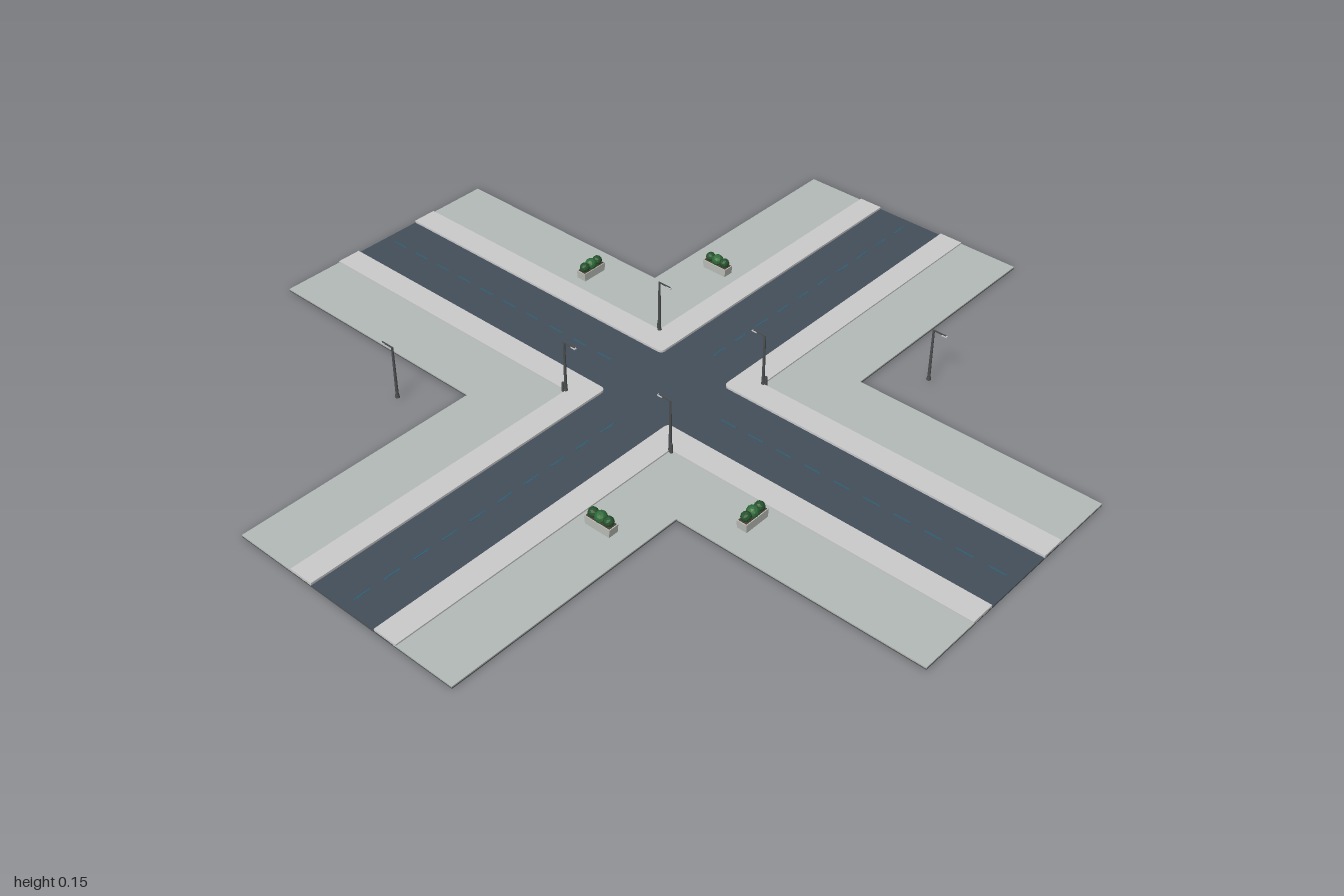
import * as THREE from 'three';

const ROAD = 0.1, WALK = 0.167, LOT = 0.333, END = 1;
const Y_BASE = 0.003, Y_ROAD = 0.0045, Y_LOT = 0.0065, Y_WALK = 0.0105;

const mat = (color) => new THREE.MeshStandardMaterial({ color, flatShading: true });
const M = {
  base: mat(0x555655), road: mat(0x434f5b), mark: mat(0x2f5f74), lot: mat(0xb4bbb9),
  walk: mat(0xc3c7c5), metal: mat(0x4c4f50), lamp: mat(0xcccccc),
  planter: mat(0xb9bcb6), soil: mat(0x4a3d30), leaf: mat(0x2f6b38), leafDark: mat(0x24522c),
};

function add(parent, name, geometry, material, x = 0, y = 0, z = 0) {
  const m = new THREE.Mesh(geometry, material);
  m.name = name;
  m.position.set(x, y, z);
  parent.add(m);
  return m;
}

// Extrudes a plan shape upward from y0 to y1
function slab(shape, y0, y1) {
  const g = new THREE.ExtrudeGeometry(shape, { depth: y1 - y0, bevelEnabled: false, curveSegments: 6 });
  return g.rotateX(-Math.PI / 2).translate(0, y0, 0);
}

// Plus-shaped plan with arms of half width w
function crossShape(w) {
  const s = new THREE.Shape();
  const corner = [[w, END], [-w, END], [-w, w]];
  for (let i = 0; i < 4; i++) {
    for (const [px, py] of corner) {
      let x = px, y = py;
      for (let k = 0; k < i; k++) [x, y] = [-y, x];
      if (i === 0 && px === w) s.moveTo(x, y); else s.lineTo(x, y);
    }
  }
  s.closePath();
  return s;
}

// L-shaped plan for one quadrant, with a rounded inner corner
function cornerShape(a, b, r) {
  const s = new THREE.Shape();
  s.moveTo(a + r, a);
  s.lineTo(END, a);
  s.lineTo(END, b);
  s.lineTo(b, b);
  s.lineTo(b, END);
  s.lineTo(a, END);
  s.lineTo(a, a + r);
  if (r > 0) s.quadraticCurveTo(a, a, a + r, a);
  return s;
}

// Street lamp, arm pointing to +x
function streetLamp() {
  const g = new THREE.Group();
  g.name = 'streetLamp';
  add(g, 'lampFoot', new THREE.CylinderGeometry(0.005, 0.006, 0.008, 8), M.metal, 0, 0.004);
  add(g, 'lampPole', new THREE.CylinderGeometry(0.0028, 0.004, 0.146, 8), M.metal, 0, 0.073);
  add(g, 'lampArm', new THREE.BoxGeometry(0.036, 0.003, 0.003), M.metal, 0.017, 0.1455);
  add(g, 'lampHead', new THREE.BoxGeometry(0.014, 0.003, 0.006), M.lamp, 0.031, 0.1435);
  return g;
}

// Planter with three bushes, long along x
function planter() {
  const g = new THREE.Group();
  g.name = 'planter';
  const box = new THREE.BoxGeometry(0.076, 0.022, 0.028);
  const p = box.attributes.position;
  for (let i = 0; i < p.count; i++) if (p.getY(i) < 0) p.setX(i, p.getX(i) * 0.95);
  add(g, 'planterBox', box, M.planter, 0, 0.011);
  add(g, 'soil', new THREE.BoxGeometry(0.07, 0.002, 0.023), M.soil, 0, 0.0225);
  for (let i = -1; i <= 1; i++) {
    const r = i === 0 ? 0.0155 : 0.013;
    const bush = add(g, 'bush', new THREE.IcosahedronGeometry(r, 1), i ? M.leafDark : M.leaf, i * 0.023, 0.031);
    bush.rotation.y = i * 0.8;
  }
  return g;
}

export function createModel() {
  const model = new THREE.Group();
  model.name = 'crossroads';

  // Ground layers
  add(model, 'base', slab(crossShape(LOT), 0, Y_BASE), M.base);
  add(model, 'road', slab(crossShape(WALK - 0.01), Y_BASE, Y_ROAD), M.road);
  const lotGeo = slab(cornerShape(WALK, LOT, 0), Y_BASE, Y_LOT);
  const walkGeo = slab(cornerShape(ROAD, WALK, 0.015), Y_BASE, Y_WALK);
  for (let i = 0; i < 4; i++) {
    add(model, 'lot', lotGeo, M.lot).rotation.y = i * Math.PI / 2;
    add(model, 'sidewalk', walkGeo, M.walk).rotation.y = i * Math.PI / 2;
  }

  // Dashed centre lines on every arm
  const dash = new THREE.BoxGeometry(0.045, 0.0006, 0.004);
  for (let i = 0; i < 4; i++) {
    const arm = new THREE.Group();
    arm.name = 'laneMarkings';
    arm.rotation.y = i * Math.PI / 2;
    for (let x = 0.2; x < 0.97; x += 0.083) add(arm, 'laneDash', dash, M.mark, x, Y_ROAD, 0);
    model.add(arm);
  }

  // Lamps at the crossing: arms reach in over the road
  for (const sx of [-1, 1]) {
    for (const sz of [-1, 1]) {
      const lamp = streetLamp();
      lamp.position.set(sx * 0.167, Y_LOT, sz * 0.167);
      if (sx > 0) lamp.rotation.y = Math.PI;
      model.add(lamp);
      // Low bollard beside each lamp
      add(model, 'bollard', new THREE.CylinderGeometry(0.003, 0.004, 0.026, 8), M.metal,
        sx * 0.173, Y_LOT + 0.013, sz * 0.17);
    }
  }

  // Two outer lamps with arms facing away, and the four planters
  for (const s of [-1, 1]) {
    const lamp = streetLamp();
    lamp.position.set(s * 0.45, Y_LOT, -s * 0.45);
    if (s < 0) lamp.rotation.y = Math.PI;
    model.add(lamp);

    const across = planter();
    across.position.set(s * 0.233, Y_WALK, s * 0.466);
    const along = planter();
    along.position.set(s * 0.466, Y_WALK, s * 0.233);
    along.rotation.y = Math.PI / 2;
    model.add(across, along);
  }
  return model;
}
